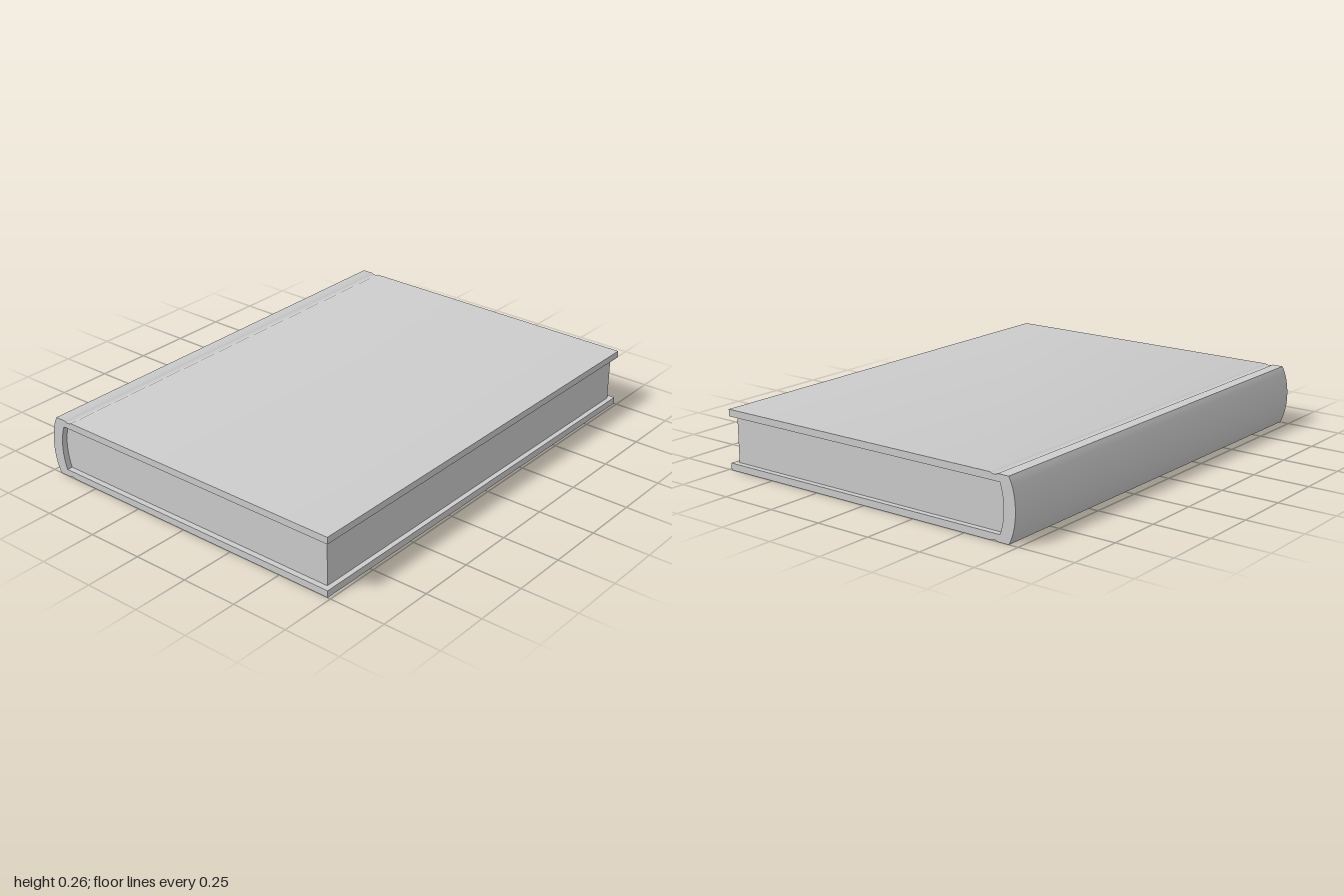
import * as THREE from 'three';
import { toCreasedNormals } from 'three/addons/utils/BufferGeometryUtils.js';

const H = 0.26;      // closed book height
const BOARD = 0.03;  // cover thickness
const FORE = 0.737;  // fore edge of the boards

// Extrude a profile along z, centred, with smooth curves and sharp corners
function extrudeProfile(name, shape, depth) {
  const raw = new THREE.ExtrudeGeometry(shape, { depth, bevelEnabled: false, curveSegments: 20 });
  raw.translate(0, 0, -depth / 2);
  const mesh = new THREE.Mesh(toCreasedNormals(raw, 0.35), new THREE.MeshStandardMaterial({ color: 0xcccccc }));
  mesh.name = name;
  return mesh;
}

export function createModel() {
  const book = new THREE.Group();
  book.name = 'book';

  // Cover: two boards joined by a rounded spine, with a shallow hinge groove on each side
  const cover = new THREE.Shape();
  cover.moveTo(FORE, 0);
  cover.lineTo(-0.622, 0);
  cover.quadraticCurveTo(-0.64, 0.01, -0.658, 0);
  cover.lineTo(-0.708, 0);
  cover.bezierCurveTo(-0.748, 0.07, -0.748, H - 0.07, -0.708, H);
  cover.lineTo(-0.658, H);
  cover.quadraticCurveTo(-0.64, H - 0.01, -0.622, H);
  cover.lineTo(FORE, H);
  cover.lineTo(FORE, H - BOARD);
  cover.lineTo(-0.667, H - BOARD);
  cover.quadraticCurveTo(-0.703, H / 2, -0.667, BOARD);
  cover.lineTo(FORE, BOARD);
  cover.closePath();
  book.add(extrudeProfile('cover', cover, 2));

  // Page block: set back from the board edges, rounded to fit the spine
  const pages = new THREE.Shape();
  pages.moveTo(0.715, BOARD);
  pages.lineTo(0.715, H - BOARD);
  pages.lineTo(-0.667, H - BOARD);
  pages.quadraticCurveTo(-0.703, H / 2, -0.667, BOARD);
  pages.closePath();
  book.add(extrudeProfile('pages', pages, 1.95));

  return book;
}
